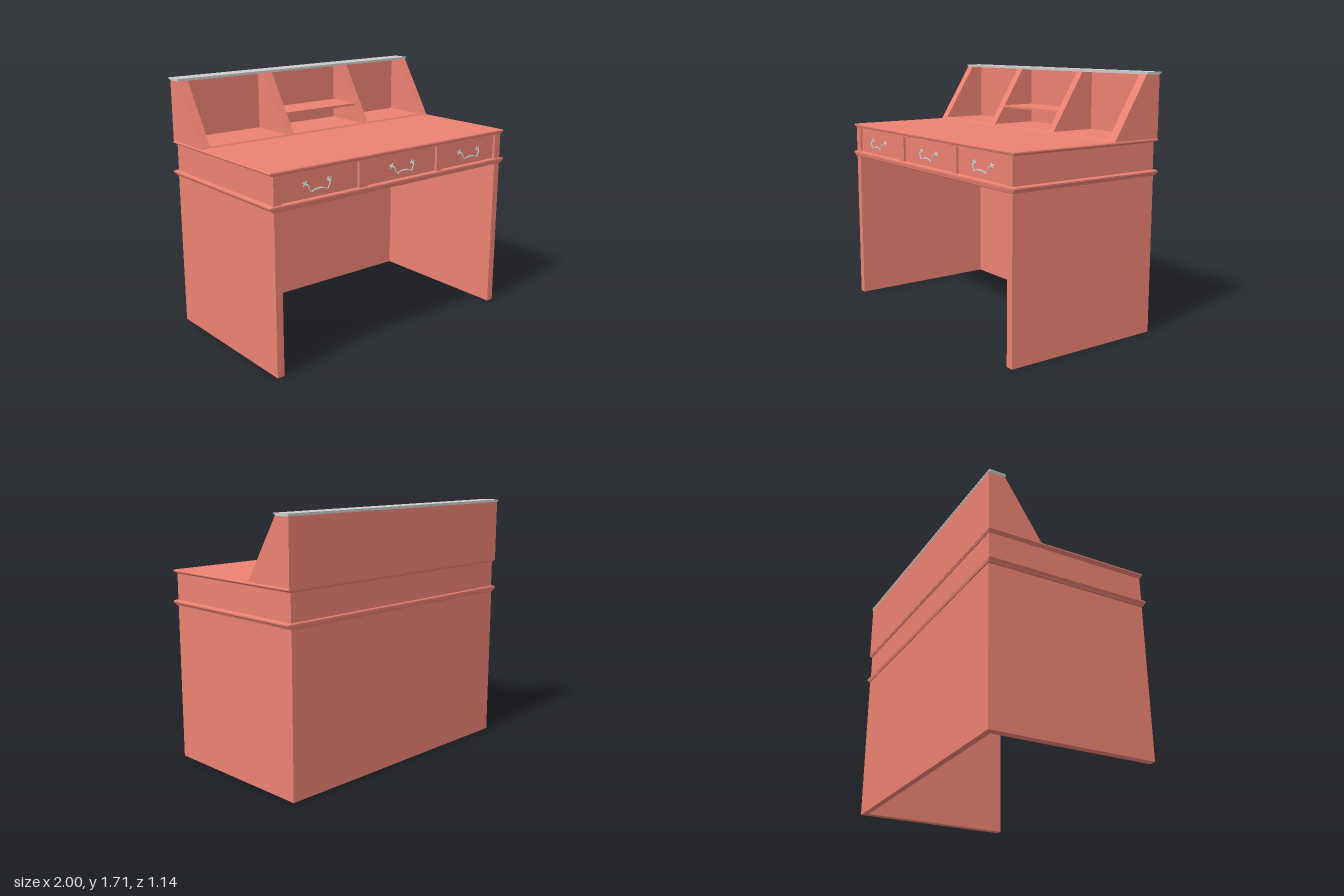
import * as THREE from 'three';

const wood = new THREE.MeshStandardMaterial({ color: 0xec8272, side: THREE.DoubleSide });
const grey = new THREE.MeshStandardMaterial({ color: 0xcccccc });

function add(parent, name, geometry, material = wood) {
  const mesh = new THREE.Mesh(geometry, material);
  mesh.name = name;
  parent.add(mesh);
  return mesh;
}

// Box given by its minimum and maximum on each axis
function box(parent, name, x0, x1, y0, y1, z0, z1, material) {
  const mesh = add(parent, name, new THREE.BoxGeometry(x1 - x0, y1 - y0, z1 - z0), material);
  mesh.position.set((x0 + x1) / 2, (y0 + y1) / 2, (z0 + z1) / 2);
  return mesh;
}

// Stack of rectangles [halfWidth, halfDepth, y], closed at both ends
function moulding(parent, name, sections) {
  const corners = sections.map(([w, d, y]) => [[-w, y, d], [w, y, d], [w, y, -d], [-w, y, -d]]);
  const pos = [];
  const quad = (a, b, c, d) => pos.push(...a, ...b, ...c, ...a, ...c, ...d);
  for (let i = 0; i < corners.length - 1; i++) {
    const lo = corners[i], hi = corners[i + 1];
    for (let k = 0; k < 4; k++) quad(lo[k], lo[(k + 1) % 4], hi[(k + 1) % 4], hi[k]);
  }
  quad(...corners[corners.length - 1]);
  quad(...[...corners[0]].reverse());
  const geometry = new THREE.BufferGeometry();
  geometry.setAttribute('position', new THREE.Float32BufferAttribute(pos, 3));
  geometry.computeVertexNormals();
  return add(parent, name, geometry);
}

// Side profile in (z, y) extruded along x
function profile(parent, name, points, x0, x1) {
  const shape = new THREE.Shape(points.map(([z, y]) => new THREE.Vector2(-z, y)));
  const geometry = new THREE.ExtrudeGeometry(shape, { depth: x1 - x0, bevelEnabled: false });
  geometry.rotateY(Math.PI / 2);
  geometry.translate(x0, 0, 0);
  return add(parent, name, geometry);
}

// Curved drawer pull with a rosette at each end
function handle(parent, x) {
  const group = new THREE.Group();
  group.name = 'drawerHandle';
  const path = [[-0.085, 0.015, -0.018], [-0.083, 0.012, 0], [-0.072, -0.015, 0.004], [-0.06, -0.032, 0.004],
    [-0.045, -0.024, 0.004], [-0.025, -0.02, 0.004]];
  const mirrored = path.map(([a, b, c]) => [-a, b, c]).reverse();
  const curve = new THREE.CatmullRomCurve3(
    [...path, [0, -0.019, 0.004], ...mirrored].map((p) => new THREE.Vector3(...p)));
  add(group, 'bail', new THREE.TubeGeometry(curve, 48, 0.004, 8), grey);
  const grip = new THREE.CylinderGeometry(0.006, 0.006, 0.05, 10).rotateZ(Math.PI / 2);
  add(group, 'grip', grip, grey).position.set(0, -0.019, 0.003);
  for (const s of [-1, 1]) {
    const plate = new THREE.CylinderGeometry(0.009, 0.014, 0.008, 12).rotateX(Math.PI / 2);
    add(group, 'rosette', plate, grey).position.set(s * 0.087, 0.015, -0.016);
    for (const [dx, dy] of [[0.016, 0.008], [0.014, -0.008], [-0.004, 0.014]]) {
      const leaf = new THREE.SphereGeometry(0.007, 8, 6).scale(1, 1, 0.5);
      add(group, 'rosetteLeaf', leaf, grey).position.set(s * (0.087 + dx), 0.015 + dy, -0.017);
    }
  }
  group.position.set(x, 1.16, 0.563);
  parent.add(group);
}

export function createModel() {
  const desk = new THREE.Group();
  desk.name = 'writingDesk';

  // Side panels and back of the base
  box(desk, 'leftSidePanel', 0.92, 0.97, 0, 1.05, -0.56, 0.56);
  box(desk, 'rightSidePanel', -0.97, -0.92, 0, 1.05, -0.56, 0.56);
  box(desk, 'backPanel', -0.92, 0.92, 0, 1.05, -0.56, -0.52);

  // Moulding below the drawers
  moulding(desk, 'lowerMoulding', [[0.97, 0.56, 1.045], [0.982, 0.566, 1.05], [0.985, 0.567, 1.058],
    [0.992, 0.569, 1.064], [1, 0.57, 1.07], [1, 0.57, 1.08], [0.985, 0.565, 1.085]]);

  // Drawer case: body, frame and recessed fronts
  box(desk, 'drawerCase', -0.97, 0.97, 1.08, 1.26, -0.556, 0.535);
  for (const [x0, x1] of [[-0.97, -0.915], [-0.33, -0.265], [0.34, 0.39], [0.915, 0.97]])
    box(desk, 'drawerStile', x0, x1, 1.08, 1.26, 0.535, 0.56);
  box(desk, 'drawerRail', -0.97, 0.97, 1.255, 1.265, 0.535, 0.56);
  for (const [x0, x1, hx] of [[-0.915, -0.33, -0.645], [-0.265, 0.34, 0.04], [0.39, 0.915, 0.66]]) {
    box(desk, 'drawerFront', x0 + 0.003, x1 - 0.003, 1.087, 1.253, 0.53, 0.545);
    handle(desk, hx);
  }

  // Desk top with a moulded edge
  moulding(desk, 'deskTop', [[0.972, 0.558, 1.26], [0.978, 0.562, 1.264], [0.988, 0.564, 1.27],
    [0.995, 0.566, 1.274], [0.995, 0.566, 1.281], [0.99, 0.563, 1.286]]);

  // Hutch: sloped dividers, back, floor, shelf and cap
  const slope = [[-0.2, 1.284], [-0.455, 1.69], [-0.567, 1.69], [-0.567, 1.284]];
  for (const [x0, x1] of [[-0.99, -0.925], [-0.33, -0.27], [0.34, 0.395], [0.925, 0.99]])
    profile(desk, 'hutchDivider', slope, x0, x1);
  box(desk, 'hutchBack', -0.99, 0.99, 1.275, 1.69, -0.568, -0.54);
  profile(desk, 'hutchFloor', [[-0.203, 1.284], [-0.211, 1.297], [-0.55, 1.297], [-0.55, 1.284]], -0.93, 0.93);
  box(desk, 'hutchShelf', -0.27, 0.34, 1.415, 1.43, -0.55, -0.29);
  box(desk, 'hutchCapLower', -0.993, 0.993, 1.688, 1.694, -0.568, -0.458, grey);
  box(desk, 'hutchCap', -1, 1, 1.694, 1.705, -0.572, -0.453, grey);

  return desk;
}
